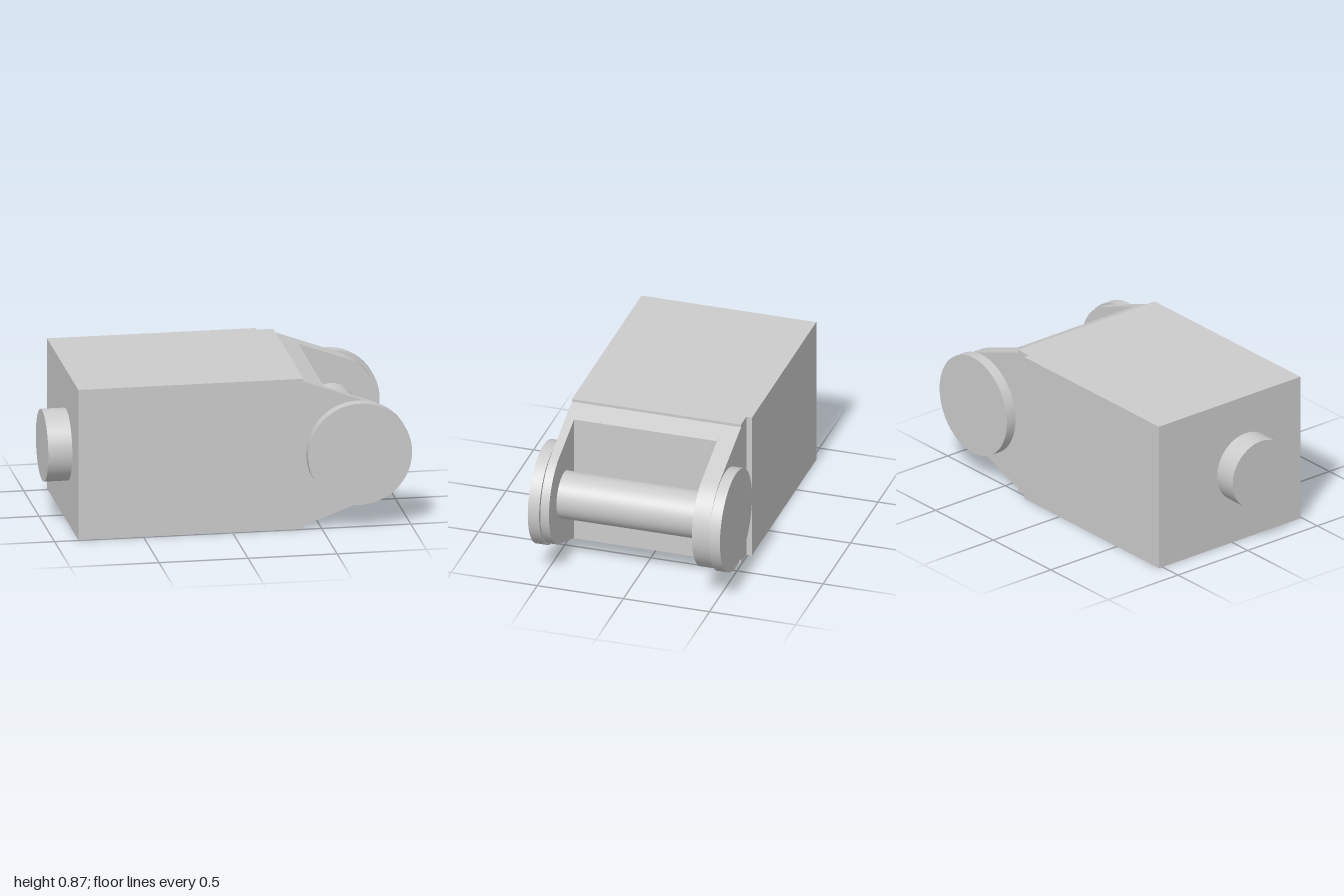
import * as THREE from 'three';

export function createModel() {
  const group = new THREE.Group();
  const material = new THREE.MeshStandardMaterial({ color: 0xcccccc });
  const midY = 0.434;
  const pinX = 0.706;

  const add = (name, geometry, x = 0, y = 0, z = 0) => {
    const mesh = new THREE.Mesh(geometry, material);
    mesh.name = name;
    mesh.position.set(x, y, z);
    group.add(mesh);
    return mesh;
  };

  // Extrude a side outline from z0 to z1
  const slab = (name, shape, z0, z1) =>
    add(name, new THREE.ExtrudeGeometry(shape, { depth: z1 - z0, bevelEnabled: false, curveSegments: 48 }), 0, 0, z0);

  // Cylinder along z from z0 to z1
  const disc = (name, radius, z0, z1) =>
    add(name, new THREE.CylinderGeometry(radius, radius, z1 - z0, 72).rotateX(Math.PI / 2), pinX, midY, (z0 + z1) / 2);

  // Housing: plan outline with a shallow step in the back front-end corner
  const plan = new THREE.Shape([
    [-0.865, -0.49], [0.4, -0.49], [0.4, 0.492], [0.305, 0.492], [0.305, 0.525], [-0.865, 0.525],
  ].map(([x, y]) => new THREE.Vector2(x, y)));
  add('housing', new THREE.ExtrudeGeometry(plan, { depth: 0.866, bevelEnabled: false }).rotateX(-Math.PI / 2));

  // Fork: sloped root block, then two rounded arms
  const rootX = 0.4, slotX = 0.52, halfRoot = 0.416, slope = 0.356;
  const halfSlot = halfRoot - (slotX - rootX) * slope;
  const root = new THREE.Shape([
    [rootX, -halfRoot], [slotX, -halfSlot], [slotX, halfSlot], [rootX, halfRoot],
  ].map(([x, y]) => new THREE.Vector2(x, midY + y)));
  slab('forkRoot', root, -0.39, 0.44);

  const armX = 0.683, armRadius = 0.292;
  const tangent = Math.PI / 2 - Math.atan(slope);
  const arm = new THREE.Shape();
  arm.moveTo(rootX, midY + halfRoot);
  arm.lineTo(rootX, midY - halfRoot);
  arm.absarc(armX, midY, armRadius, -tangent, tangent, false);
  arm.closePath();
  slab('frontForkArm', arm, 0.44, 0.49);
  slab('backForkArm', arm, -0.492, -0.39);

  // Hinge pin with its two end caps
  disc('hingePin', 0.134, -0.5, 0.49);
  disc('frontCap', 0.292, 0.49, 0.556);
  disc('backCap', 0.292, -0.56, -0.498);

  // Shaft stub on the closed end
  add('shaftStub', new THREE.CylinderGeometry(0.202, 0.202, 0.135, 72).rotateZ(Math.PI / 2), -0.9325, 0.438, 0.095);

  return group;
}
